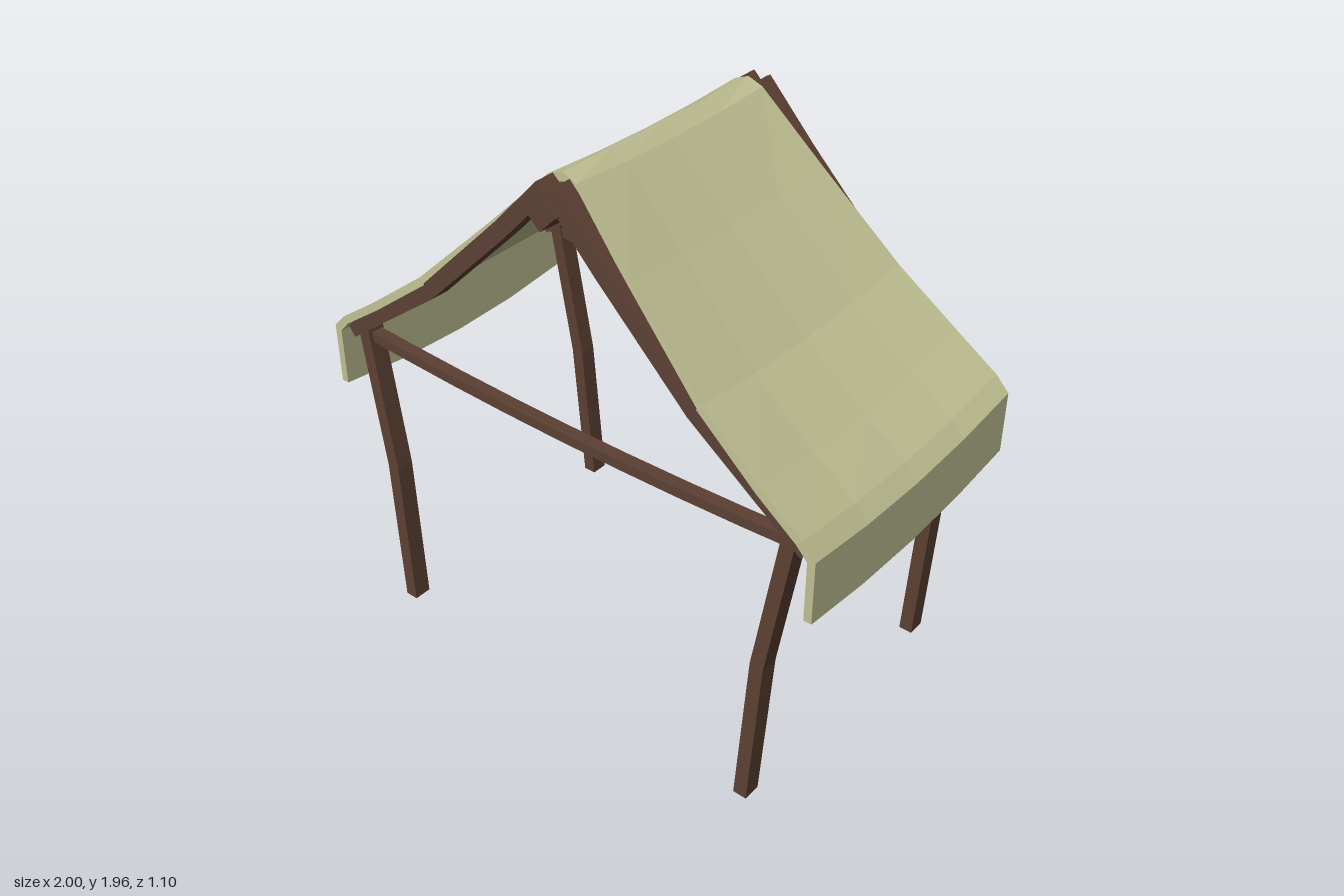
import * as THREE from 'three';

const wood = new THREE.MeshStandardMaterial({ color: 0x5c4033, flatShading: true });
const cloth = new THREE.MeshStandardMaterial({ color: 0xc0c094, flatShading: true });

// Solid skin through a row of closed rings, capped at both ends
function loft(rings) {
  const n = rings[0].length, pos = rings.flat(2), quads = [];
  const last = (rings.length - 1) * n;
  for (let r = 0; r < rings.length - 1; r++) {
    for (let i = 0; i < n; i++) {
      const a = r * n + i, b = r * n + (i + 1) % n;
      quads.push([a, b, b + n, a + n]);
    }
  }
  for (let i = 0; i < n / 2 - 1; i++) {
    quads.push([n - 1 - i, n - 2 - i, i + 1, i]);
    quads.push([last + i, last + i + 1, last + n - 2 - i, last + n - 1 - i]);
  }
  let tris = quads.flatMap(([a, b, c, d]) => [[a, b, c], [a, c, d]]);
  // Turn the faces outward if the enclosed volume comes out negative
  const v = (i) => new THREE.Vector3().fromArray(pos, i * 3);
  const centre = v(0);
  const volume = tris.reduce((s, [a, b, c]) =>
    s + v(a).sub(centre).dot(v(b).sub(centre).cross(v(c).sub(centre))), 0);
  if (volume < 0) tris = tris.map(([a, b, c]) => [a, c, b]);
  const indexed = new THREE.BufferGeometry();
  indexed.setAttribute('position', new THREE.Float32BufferAttribute(pos, 3));
  indexed.setIndex(tris.flat());
  const geo = indexed.toNonIndexed();
  geo.computeVertexNormals();
  return geo;
}

// Mitred normals of a polyline in the xy plane
function normals(pts) {
  const dir = (a, b) => new THREE.Vector2(b[0] - a[0], b[1] - a[1]).normalize();
  return pts.map((p, i) => {
    const d1 = i > 0 ? dir(pts[i - 1], p) : dir(p, pts[1]);
    const d2 = i < pts.length - 1 ? dir(p, pts[i + 1]) : d1;
    const t = d1.clone().add(d2).normalize();
    const k = 1 / t.dot(d1);
    return [-t.y * k, t.x * k];
  });
}

// Rectangular beam along [x, y, z] points; axis fixes the direction of its width
function beam(pts, width, depth, axis) {
  const nrm = normals(pts), w = width / 2, d = depth / 2;
  return loft(pts.map(([x, y, z], i) => {
    const [nx, ny] = axis || nrm[i];
    return [[-w, -d], [w, -d], [w, d], [-w, d]].map(([a, b]) => [x + nx * a, y + ny * a, z + b]);
  }));
}

export function createModel() {
  const group = new THREE.Group();
  const add = (name, geo, mat) => {
    const mesh = new THREE.Mesh(geo, mat);
    mesh.name = name;
    group.add(mesh);
  };

  for (const sz of [1, -1]) {
    const end = sz > 0 ? 'front' : 'back';
    for (const sx of [1, -1]) {
      const side = sx > 0 ? 'Left' : 'Right';
      const place = ([x, y, z]) => [x * sx, y, z * sz];
      // Bent legs
      add(`${end}${side}Leg`, beam([[0.768, 0, 0.505], [0.803, 0.58, 0.493],
        [0.89, 1.13, 0.483]].map(place), 0.05, 0.066, [1, 0]), wood);
      // Sagging rafters, meeting at the peak
      add(`${end}${side}Rafter`, beam([[0.012, 1.932, 0.485], [0.198, 1.735, 0.485],
        [0.54, 1.398, 0.485], [0.95, 1.095, 0.485]].map(place), 0.056, 0.07), wood);
    }
    // Tie beam dipping in the middle
    const tie = [];
    for (let i = -4; i <= 4; i++) {
      const t = i / 4;
      tie.push([0.95 * t, 1.065 + 0.032 * t * t, 0.48 * sz]);
    }
    add(`${end}TieBeam`, beam(tie, 0.036, 0.045), wood);
  }

  // Ridge beam set on its edge
  add('ridgeBeam', loft([-0.55, -0.27, 0, 0.27, 0.55].map((z) => {
    const y = 1.87 - 0.015 * (1 - (z / 0.55) ** 2), r = 0.06;
    return [[0, y - r, z], [r, y, z], [0, y + r, z], [-r, y, z]];
  })), wood);

  // Cloth roof with hanging hems: x, y, half depth, sag in the middle
  const half = [
    [0.055, 1.94, 0.447, 0.015], [0.28, 1.717, 0.48, 0.025], [0.57, 1.44, 0.52, 0.03],
    [0.8, 1.265, 0.539, 0.035], [0.95, 1.16, 0.545, 0.04], [1, 1.107, 0.545, 0.04],
    [1, 0.88, 0.545, 0.04],
  ];
  const profile = [...half.map(([x, ...rest]) => [-x, ...rest]).reverse(),
    [0, 1.962, 0.445, 0], ...half];
  const nrm = normals(profile), thick = 0.028;
  add('clothRoof', loft(profile.map(([x, y, depth, sag], i) => {
    const row = (off) => [-1, -0.5, 0, 0.5, 1].map((t) =>
      [x - nrm[i][0] * off, y - nrm[i][1] * off - sag * (1 - t * t), t * depth]);
    return [...row(0), ...row(thick).reverse()];
  })), cloth);

  return group;
}
